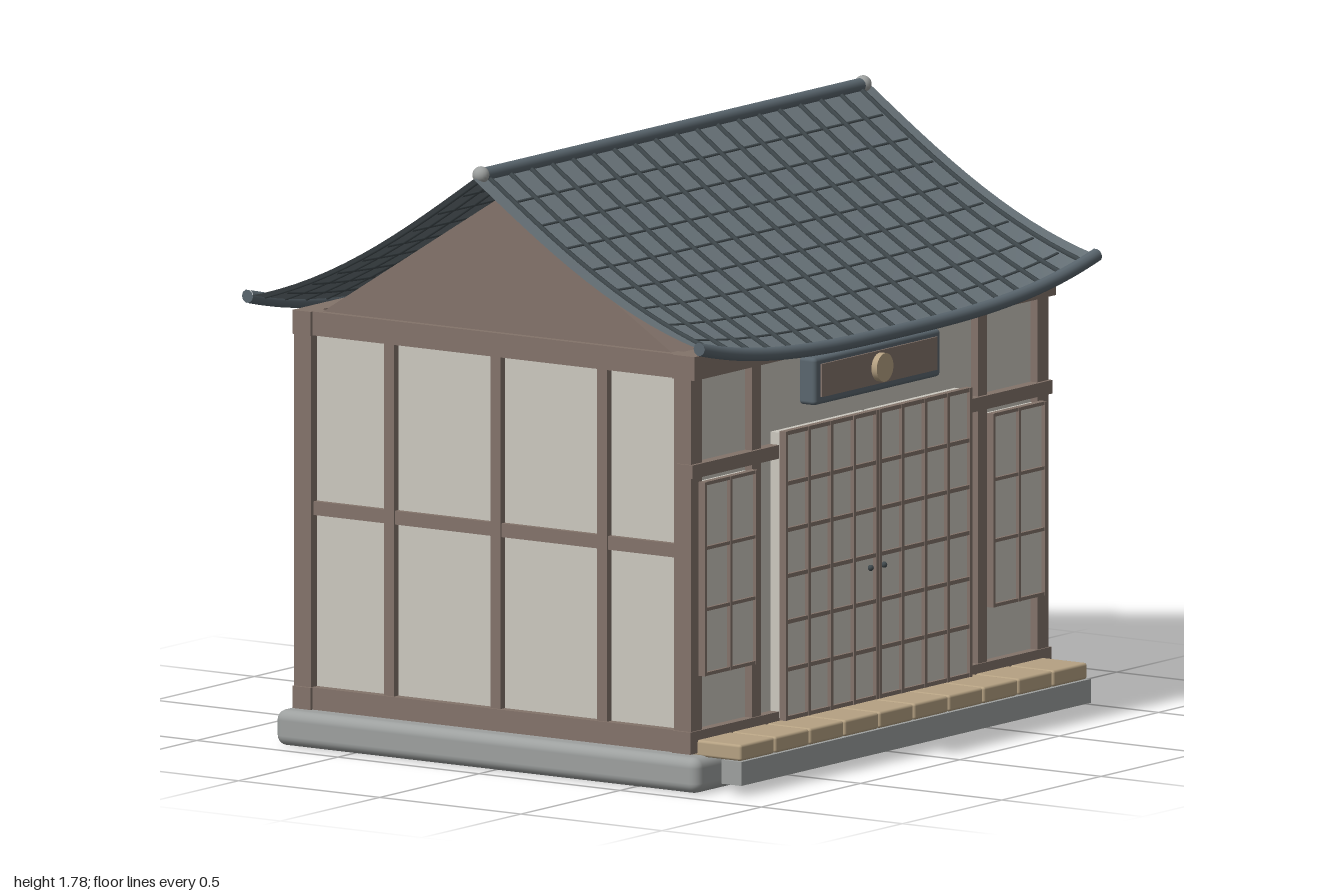
import * as THREE from 'three';
import { RoundedBoxGeometry } from 'three/addons/geometries/RoundedBoxGeometry.js';

const mat = (name, color, side = THREE.FrontSide) => {
  const m = new THREE.MeshStandardMaterial({ color, side });
  m.name = name;
  return m;
};

const ZC = -0.02; // middle of the house in depth

export function createModel() {
  const M = {
    plaster: mat('plaster', 0xcbc8bf),
    timber: mat('timber', 0x83736a),
    tile: mat('roofTile', 0x69747a, THREE.DoubleSide),
    dark: mat('darkTile', 0x40494d),
    stone: mat('stone', 0x9da09f),
    plank: mat('plank', 0xb5a182),
    frame: mat('signFrame', 0x5a666e),
  };
  const house = new THREE.Group();
  house.name = 'house';

  const add = (name, geo, material, x = 0, y = 0, z = 0, parent = house) => {
    const m = new THREE.Mesh(geo, material);
    m.name = name;
    m.position.set(x, y, z);
    parent.add(m);
    return m;
  };
  // Box given by its limits on each axis
  const box = (name, material, x0, x1, y0, y1, z0, z1, parent) =>
    add(name, new THREE.BoxGeometry(x1 - x0, y1 - y0, z1 - z0), material,
      (x0 + x1) / 2, (y0 + y1) / 2, (z0 + z1) / 2, parent);
  const rounded = (name, material, x0, x1, y0, y1, z0, z1, r) =>
    add(name, new RoundedBoxGeometry(x1 - x0, y1 - y0, z1 - z0, 3, r), material,
      (x0 + x1) / 2, (y0 + y1) / 2, (z0 + z1) / 2);

  // Foundation and front step
  rounded('foundation', M.stone, -0.94, 0.94, 0, 0.105, -0.77, 0.73, 0.03);
  box('stepStone', M.stone, -0.88, 0.88, 0.03, 0.1, 0.775, 0.845);
  const planks = 10, pw = 1.75 / planks;
  for (let i = 0; i < planks; i++) {
    const x = -0.875 + i * pw;
    rounded('stepPlank', M.plank, x + 0.002, x + pw - 0.002, 0.1, 0.148, 0.66, 0.838, 0.008);
  }

  // Plaster core
  box('walls', M.plaster, -0.87, 0.87, 0.105, 1.27, -0.7, 0.655);

  // Ground and top beams
  for (const [name, y0, y1, zf] of [['groundBeam', 0.11, 0.175, 0.685], ['topBeam', 1.21, 1.28, 0.7]]) {
    box(name, M.timber, -0.91, 0.91, y0, y1, 0.62, zf);
    box(name, M.timber, -0.91, 0.91, y0, y1, -0.725, -0.66);
    for (const s of [-1, 1]) box(name, M.timber, s * 0.875 - 0.025, s * 0.875 + 0.025, y0, y1, -0.7, 0.66);
  }

  // Posts, side rails and front rails
  for (const s of [-1, 1]) {
    const bx = (name, a, b, ...rest) => box(name, M.timber, Math.min(s * a, s * b), Math.max(s * a, s * b), ...rest);
    bx('cornerPost', 0.845, 0.9, 0.17, 1.215, 0.62, 0.68);
    bx('cornerPost', 0.845, 0.9, 0.17, 1.215, -0.725, -0.665);
    bx('frontPost', 0.547, 0.592, 0.17, 1.215, 0.64, 0.68);
    bx('frontRail', 0.47, 0.906, 0.92, 0.96, 0.635, 0.69);
    bx('backPost', 0.54, 0.59, 0.17, 1.215, -0.72, -0.68);
    bx('sideRail', 0.86, 0.888, 0.68, 0.72, -0.68, 0.64);
    for (const z of [0.36, -0.018, -0.395])
      bx('sidePost', 0.86, 0.892, 0.17, 1.215, z - 0.018, z + 0.018);
  }
  box('backPost', M.timber, -0.025, 0.025, 0.17, 1.215, -0.72, -0.68);

  // Gable prism under the roof
  const tri = new THREE.Shape([[-0.625, 1.275], [0.625, 1.275], [0, 1.67]].map(p => new THREE.Vector2(...p)));
  const gable = new THREE.ExtrudeGeometry(tri, { depth: 1.76, bevelEnabled: false });
  gable.rotateY(-Math.PI / 2);
  add('gable', gable, M.timber, 0.88, 0, ZC);

  // Panel with a lattice of bars: xs and ys are bar centres
  const lattice = (name, xs, ys, z, w) => {
    const g = new THREE.Group();
    g.name = name;
    house.add(g);
    const [x0, x1, y0, y1] = [xs[0], xs.at(-1), ys[0], ys.at(-1)];
    box('paper', M.plaster, x0, x1, y0, y1, 0.65, z, g);
    for (const x of xs) box('uprightBar', M.timber, x - w, x + w, y0 - w, y1 + w, z - 0.01, z + 0.012, g);
    for (const y of ys) box('crossBar', M.timber, x0 - w, x1 + w, y - w, y + w, z - 0.01, z + 0.01, g);
    return g;
  };

  // Sliding doors and side windows
  for (const s of [-1, 1]) {
    const xs = [0.008, 0.122, 0.236, 0.35, 0.464].map(x => x * s).sort((a, b) => a - b);
    const door = lattice('door', xs, [0.157, 0.3, 0.44, 0.575, 0.71, 0.847, 0.995], 0.702, 0.006);
    add('doorHandle', new THREE.SphereGeometry(0.009, 12, 8), M.dark, s * 0.034, 0.54, 0.708, door);
    const wx = [0.597, 0.727, 0.856].map(x => x * s).sort((a, b) => a - b);
    lattice('window', wx, [0.34, 0.53, 0.71, 0.9], 0.69, 0.005);
  }

  // Sign board above the doors
  rounded('signFrame', M.frame, -0.317, 0.317, 1.055, 1.195, 0.65, 0.71, 0.012);
  box('signPanel', M.timber, -0.29, 0.29, 1.078, 1.175, 0.69, 0.716);
  const disc = new THREE.CylinderGeometry(0.042, 0.042, 0.03, 32).rotateX(Math.PI / 2);
  add('signDisc', disc, M.plank, 0, 1.127, 0.72);

  // Roof surface: t runs from ridge to eave, corners sweep up
  const roofPoint = (x, t, side, lift = 0) => new THREE.Vector3(
    x,
    1.745 - 0.507 * t - 0.018 * Math.sin(Math.PI * t) + 0.085 * Math.abs(x) ** 3 * t ** 3 + lift,
    ZC + side * 0.8 * t);
  const curveAt = (n, fn) => new THREE.CatmullRomCurve3(
    Array.from({ length: n + 1 }, (_, i) => fn(i / n)));
  const tube = (name, curve, seg, r, sides, material) =>
    add(name, new THREE.TubeGeometry(curve, seg, r, sides), material);

  for (const side of [-1, 1]) {
    const sheet = new THREE.PlaneGeometry(2, 1, 32, 14);
    const p = sheet.attributes.position;
    for (let i = 0; i < p.count; i++) {
      // mirrored in x on the back so the faces point outward
      const v = roofPoint(p.getX(i) * side, 0.5 - p.getY(i), side);
      p.setXYZ(i, v.x, v.y, v.z);
    }
    sheet.computeVertexNormals();
    add('roofSlope', sheet, M.tile);

    // Ribs down the slope
    for (let i = -9; i <= 9; i++)
      tube('roofRib', curveAt(8, t => roofPoint(i * 0.104, t, side, 0.003)), 14, 0.008, 6, M.dark);
    // Tile courses
    for (let k = 1; k <= 8; k++)
      tube('tileCourse', curveAt(16, u => roofPoint(-0.92 + 1.84 * u, k / 9 + 0.01, side, -0.001)), 32, 0.005, 6, M.dark);
    // Rolled eave with closed ends
    tube('eave', curveAt(20, u => roofPoint(-1 + 2 * u, 1, side)), 48, 0.02, 10, M.frame);
    for (const s of [-1, 1]) {
      const cap = new THREE.CircleGeometry(0.02, 10).rotateY(s * Math.PI / 2);
      const e = roofPoint(s, 1, side);
      add('eaveCap', cap, M.frame, e.x, e.y, e.z);
    }
  }

  // Ridge roll and end balls
  add('ridge', new THREE.CylinderGeometry(0.02, 0.02, 1.94, 16).rotateZ(Math.PI / 2), M.frame, 0, 1.752, ZC);
  for (const s of [-1, 1])
    add('ridgeBall', new THREE.SphereGeometry(0.025, 16, 12), M.stone, s * 0.962, 1.753, ZC);

  return house;
}
